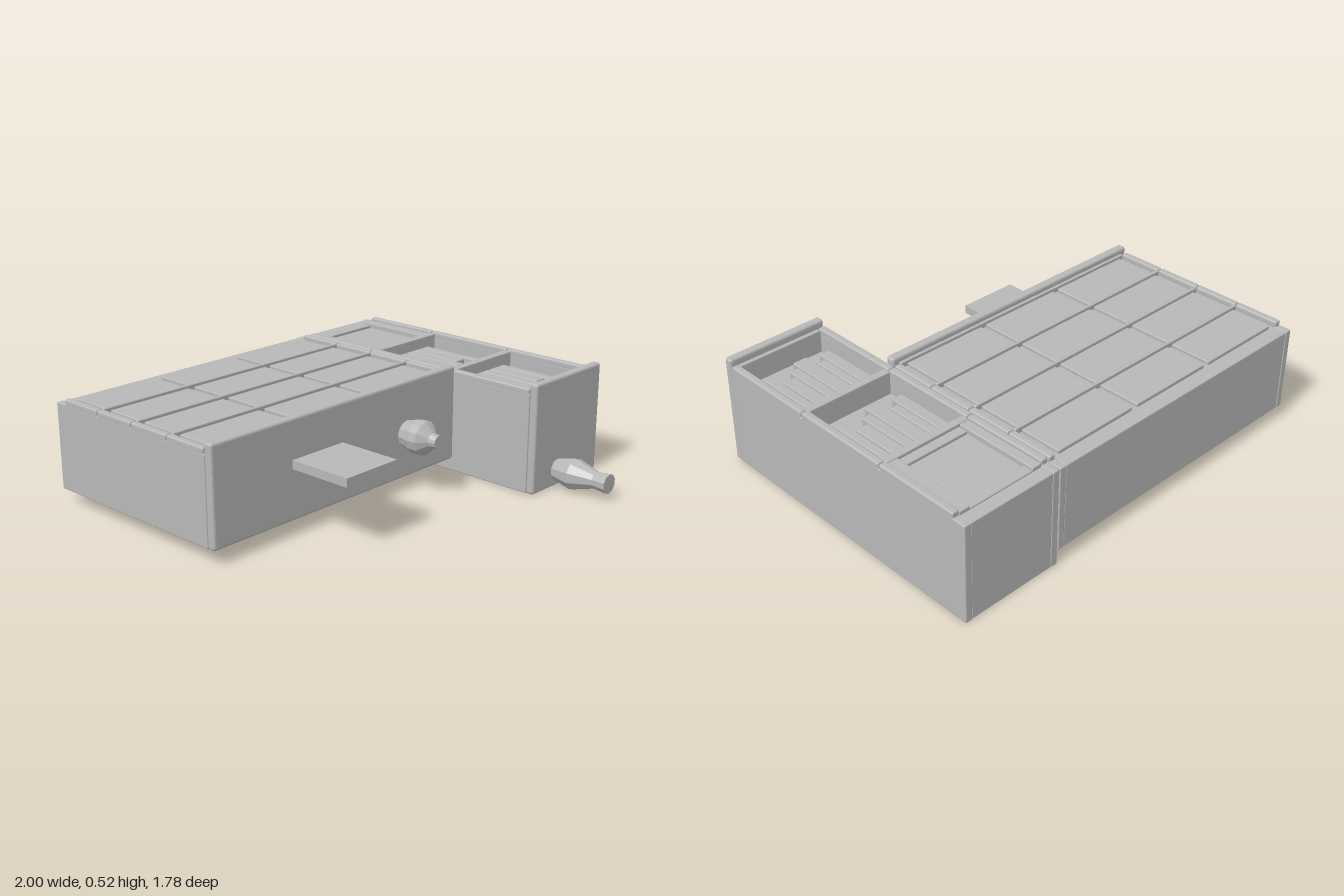
import * as THREE from 'three';
import { RoundedBoxGeometry } from 'three/addons/geometries/RoundedBoxGeometry.js';

export function createModel() {
  const root = new THREE.Group();
  const grey = new THREE.MeshStandardMaterial({ color: 0xb8b8b8 });
  grey.name = 'plainGrey';
  grey.flatShading = true;

  // box from its limits, with a small bevel unless r is 0
  function box(parent, name, x0, x1, y0, y1, z0, z1, r = 0.005) {
    const s = [x1 - x0, y1 - y0, z1 - z0];
    const g = r ? new RoundedBoxGeometry(...s, 2, r) : new THREE.BoxGeometry(...s);
    const m = new THREE.Mesh(g, grey);
    m.position.set((x0 + x1) / 2, (y0 + y1) / 2, (z0 + z1) / 2);
    m.name = name;
    parent.add(m);
    return m;
  }

  // turned handle along +z, profile given as [radius, distance]
  function turned(parent, name, x, y, z, profile, sides) {
    const pts = [[0, 0], ...profile, [0, profile.at(-1)[1]]].map(p => new THREE.Vector2(...p));
    const g = new THREE.LatheGeometry(pts, sides);
    g.rotateX(Math.PI / 2);
    const m = new THREE.Mesh(g, grey);
    m.position.set(x, y, z);
    m.name = name;
    parent.add(m);
  }

  function part(name) {
    const g = new THREE.Group();
    g.name = name;
    root.add(g);
    return g;
  }

  // wide drawer case
  const wide = part('wideDrawer');
  box(wide, 'core', -0.97, 0.47, 0.07, 0.47, -0.84, 0.1, 0);
  box(wide, 'backWall', -0.967, 0.463, 0.065, 0.47, -0.888, -0.83);
  box(wide, 'frontPanel', -1, 0.497, 0.065, 0.523, 0.093, 0.137, 0.012);
  for (const x of [-1, 0.462]) box(wide, 'sideWall', x, x + 0.034, 0.065, 0.472, -0.89, 0.095);

  // rails, dividers and three lids in each of four rows
  const pitch = 0.23;
  for (let row = 0; row < 4; row++) {
    const z = -0.83 + row * pitch;
    for (const x of [-1, 0.462]) box(wide, 'sideRail', x, x + 0.034, 0.465, 0.497, z, z + pitch - 0.004, 0.008);
    box(wide, 'divider', -0.966, 0.462, 0.46, 0.497, z + pitch - 0.01, z + pitch + 0.006);
    for (let col = 0; col < 3; col++) {
      const x = -0.937 + col * 0.466;
      box(wide, 'lid', x, x + 0.436, 0.46, 0.487, z + 0.013, z + 0.217);
    }
  }
  box(wide, 'shelfPull', -0.56, -0.257, 0.3, 0.34, 0.13, 0.45, 0);
  turned(wide, 'knob', 0.163, 0.276, 0.13,
    [[0.06, 0], [0.08, 0.075], [0.08, 0.12], [0.036, 0.16], [0.03, 0.195]], 12);

  // narrow long drawer case
  const long = part('longDrawer');
  box(long, 'core', 0.53, 0.97, 0.005, 0.38, -0.84, 0.57, 0);
  box(long, 'backWall', 0.533, 0.967, 0, 0.47, -0.888, -0.825);
  box(long, 'frontPanel', 0.5, 1, 0, 0.525, 0.564, 0.606, 0.012);
  for (const x of [0.5, 0.965]) {
    box(long, 'sideWall', x, x + 0.035, 0, 0.472, -0.89, 0.565);
    for (const [a, b] of [[-0.825, -0.407], [-0.403, 0.078], [0.082, 0.56]])
      box(long, 'sideRail', x, x + 0.035, 0.465, 0.497, a, b, 0.008);
  }
  for (const [a, b] of [[-0.415, -0.378], [0.07, 0.108], [0.545, 0.566]])
    box(long, 'crossWall', 0.533, 0.967, 0.3, 0.49, a, b);

  // shallow framed compartment at the back
  box(long, 'compartmentFloor', 0.533, 0.967, 0.37, 0.46, -0.83, -0.4, 0);
  for (const [a, b] of [[0.535, 0.582], [0.908, 0.965]])
    box(long, 'compartmentLedge', a, b, 0.44, 0.485, -0.825, -0.412);
  for (const [a, b] of [[-0.825, -0.777], [-0.46, -0.412]])
    box(long, 'compartmentEnd', 0.582, 0.908, 0.44, 0.475, a, b);

  // slats lying in both trays: x start, x end, length
  const slats = [[0.555, 0.612, 0.352], [0.617, 0.66, 0.303], [0.665, 0.738, 0.377],
    [0.743, 0.792, 0.328], [0.797, 0.862, 0.28], [0.868, 0.91, 0.367]];
  for (const z of [-0.378, 0.108])
    for (const [a, b, len] of slats) box(long, 'slat', a, b, 0.375, 0.435, z, z + len);

  turned(long, 'handle', 0.685, 0.079, 0.6,
    [[0.05, 0], [0.075, 0.105], [0.04, 0.22], [0.047, 0.29]], 10);
  return root;
}
